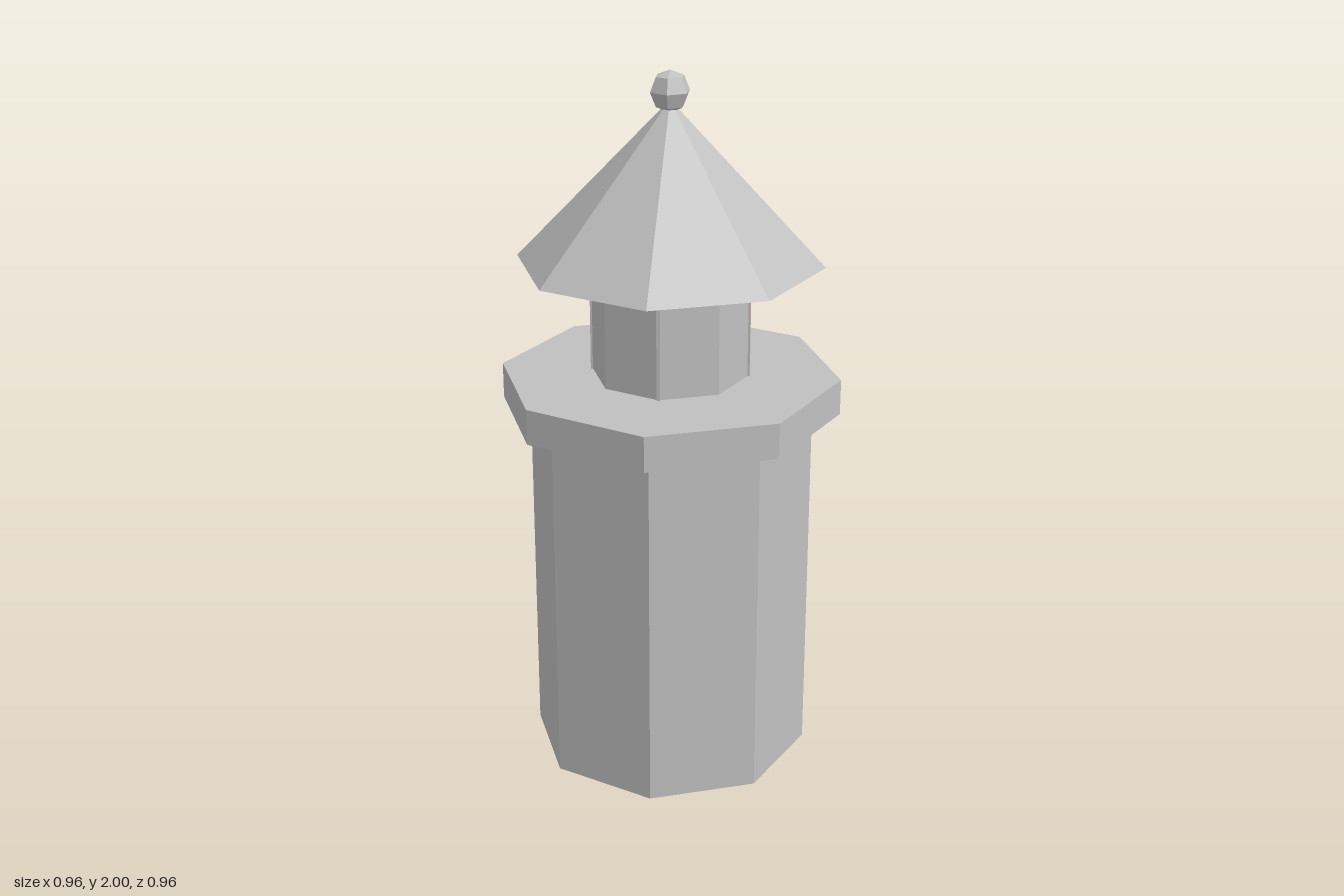
import * as THREE from 'three';

const SIDES = 8;

export function createModel() {
  const model = new THREE.Group();
  model.name = 'lighthouse';
  const stone = new THREE.MeshStandardMaterial({ color: 0xc0c0c0 });
  stone.name = 'light grey';
  stone.flatShading = true;

  const add = (name, geometry, x, y, z) => {
    const mesh = new THREE.Mesh(geometry, stone);
    mesh.name = name;
    mesh.position.set(x, y, z);
    model.add(mesh);
    return mesh;
  };

  // Upright octagonal prism between two heights
  const prism = (name, radius, bottom, top) =>
    add(name, new THREE.CylinderGeometry(radius, radius, top - bottom, SIDES), 0, (bottom + top) / 2, 0);

  prism('tower', 0.402, 0, 1.047);
  prism('galleryDeck', 0.48, 1.047, 1.148);
  prism('lanternRoom', 0.221, 1.148, 1.472);

  // Thin corner posts on the lantern room
  for (let i = 0; i < 4; i++) {
    const a = (i * Math.PI) / 2;
    const post = add('lanternPost', new THREE.BoxGeometry(0.01, 0.324, 0.01),
      0.22 * Math.sin(a), 1.31, 0.22 * Math.cos(a));
    post.rotation.y = a;
  }

  // Pointed roof with a closed underside
  add('roof', new THREE.ConeGeometry(0.428, 0.448, SIDES), 0, 1.696, 0);

  // Faceted ball on the tip, corners facing front and back
  add('finial', new THREE.SphereGeometry(0.057, 6, 4).rotateY(Math.PI / 2), 0, 1.943, 0);

  return model;
}
